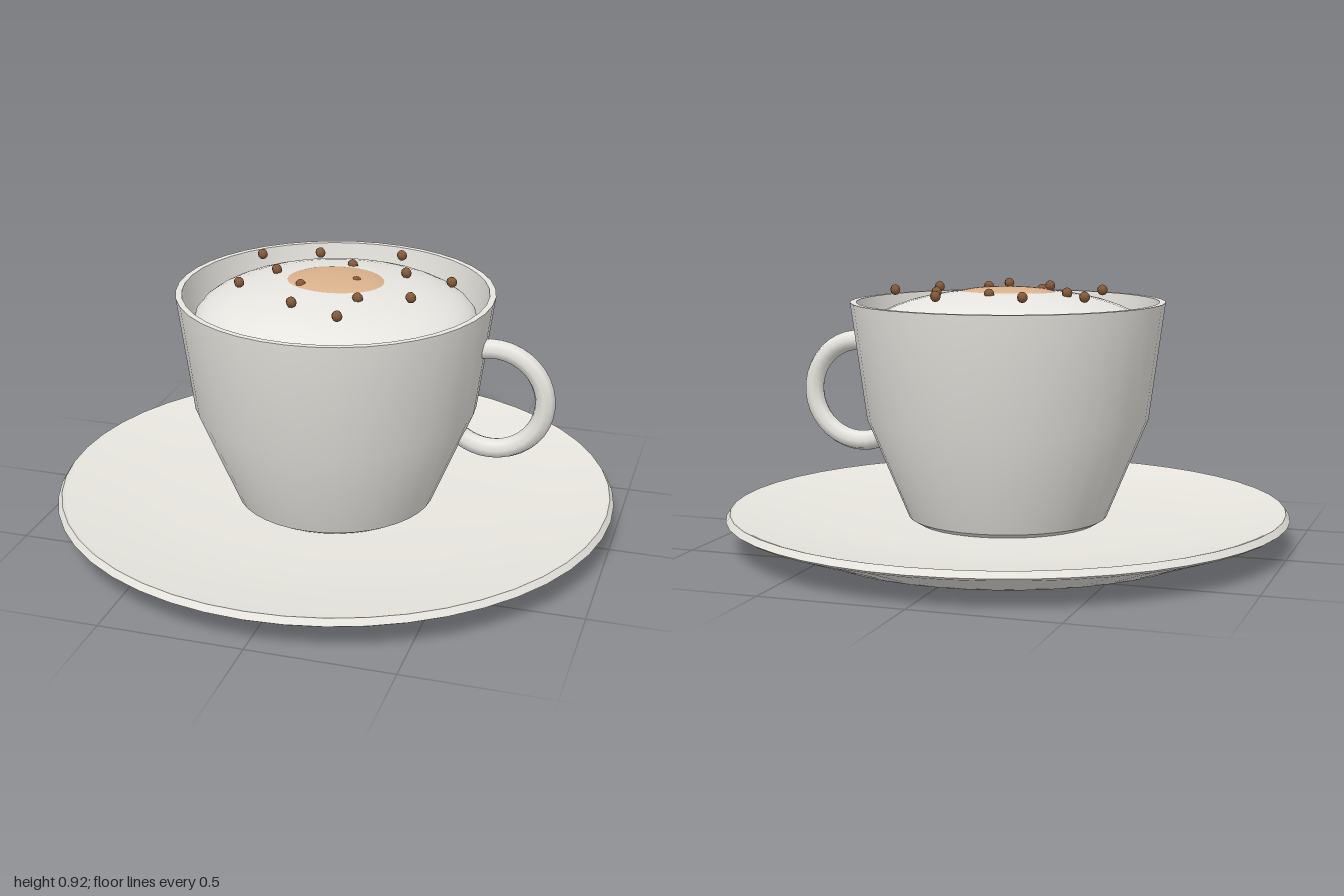
import * as THREE from 'three';

const material = (name, color) => {
  const m = new THREE.MeshStandardMaterial({ color });
  m.name = name;
  return m;
};

export function createModel() {
  const group = new THREE.Group();
  const cupWhite = material('cup white', 0xf2f0ea);
  const saucerWhite = material('saucer white', 0xe8e6df);
  const foamWhite = material('milk foam', 0xf5f3ee);
  const coffee = material('coffee tan', 0xdab18c);
  const cocoa = material('cocoa brown', 0x855a39);

  const add = (name, geometry, mat, parent = group) => {
    const mesh = new THREE.Mesh(geometry, mat);
    mesh.name = name;
    parent.add(mesh);
    return mesh;
  };
  // Repeated points in a profile keep that edge sharp.
  const lathe = (points, segments) =>
    new THREE.LatheGeometry(points.map(([x, y]) => new THREE.Vector2(x, y)), segments);

  // Saucer: flat foot, flared underside, thin lip, softly curved dish
  add('saucer', lathe([
    [0, 0], [0.72, 0], [0.75, 0.013], [0.985, 0.097], [0.985, 0.097], [1, 0.107], [1, 0.107],
    [0.985, 0.129], [0.985, 0.129], [0.975, 0.126], [0.975, 0.126], [0.8, 0.102],
    [0.6, 0.086], [0.35, 0.08], [0, 0.078],
  ], 48), saucerWhite);

  // Cup: bevelled foot, outer wall, rim and inner wall in one profile
  add('cup', lathe([
    [0, 0.08], [0.325, 0.08], [0.325, 0.08], [0.354, 0.097], [0.354, 0.097], [0.5, 0.45],
    [0.555, 0.861], [0.555, 0.861], [0.533, 0.861], [0.533, 0.861],
    [0.48, 0.45], [0.34, 0.13], [0.34, 0.13], [0, 0.12],
  ], 40), cupWhite);

  // Handle: partial ring whose ends sink into the cup wall
  const start = THREE.MathUtils.degToRad(-128);
  const arc = THREE.MathUtils.degToRad(231);
  const handle = add('handle', new THREE.TorusGeometry(0.185, 0.036, 8, 24, arc), cupWhite);
  handle.position.set(0.565, 0.52, 0);
  handle.rotation.z = start;

  // Foam: flattened ball filling the cup
  const foam = add('foam', new THREE.SphereGeometry(0.496, 32, 20), foamWhite);
  foam.scale.y = 0.3;
  foam.position.y = 0.756;

  // Coffee spot: low oval mound on top of the foam
  const spot = add('coffeeSpot',
    new THREE.SphereGeometry(1, 32, 12, 0, Math.PI * 2, 0, Math.PI / 2), coffee);
  spot.scale.set(0.178, 0.022, 0.157);
  spot.position.y = 0.889;

  // Cocoa sprinkles, all at one height
  const sprinkles = new THREE.Group();
  sprinkles.name = 'sprinkles';
  group.add(sprinkles);
  const crumb = new THREE.SphereGeometry(0.019, 6, 6);
  [
    [0.15, -0.325], [-0.14, -0.27], [-0.335, -0.195], [0.01, -0.175], [0.215, -0.14],
    [0.39, -0.09], [-0.23, -0.045], [0.075, 0], [-0.1, 0.085], [-0.31, 0.125],
    [0.125, 0.16], [0.295, 0.105], [-0.075, 0.265], [0.11, 0.35],
  ].forEach(([x, z]) => add('sprinkle', crumb, cocoa, sprinkles).position.set(x, 0.898, z));

  return group;
}
